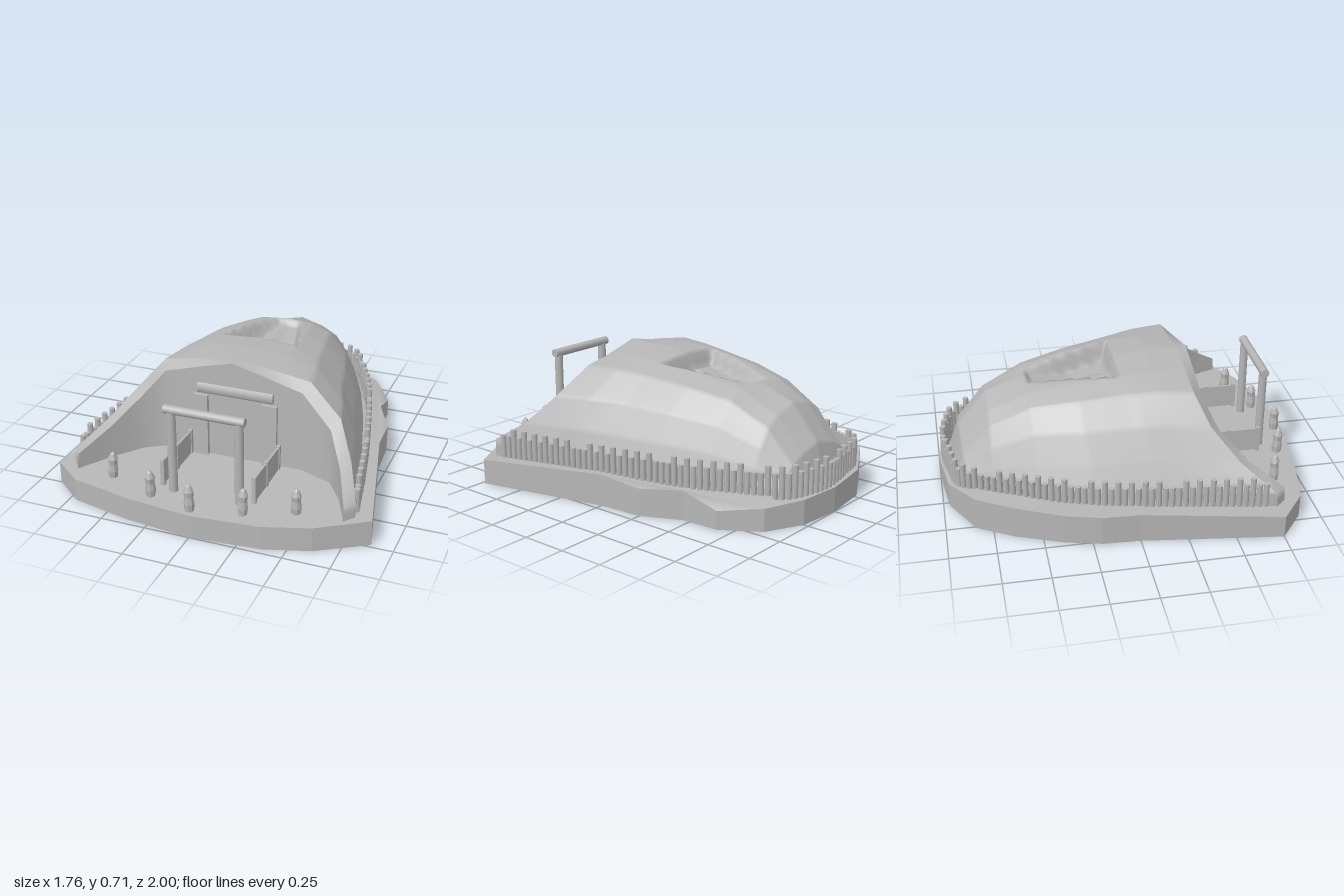
import * as THREE from 'three';

const stone = new THREE.MeshStandardMaterial({ color: 0xb6b6b6, side: THREE.DoubleSide });
stone.name = 'grey stone';
const facetedStone = stone.clone();
facetedStone.name = 'grey stone faceted';
facetedStone.flatShading = true;

const V = (x, y, z) => new THREE.Vector3(x, y, z);
const { lerp, clamp } = THREE.MathUtils;
const mix = (a, b, t) => a.map((v, k) => lerp(v, b[k], t));

function part(parent, name, geometry, x = 0, y = 0, z = 0, material = stone) {
  const mesh = new THREE.Mesh(geometry, material);
  mesh.name = name;
  mesh.position.set(x, y, z);
  parent.add(mesh);
  return mesh;
}

// Sheet through rows of points, every row the same length
function sheet(rows) {
  const n = rows[0].length, index = [];
  for (let r = 0; r < rows.length - 1; r++) {
    for (let c = 0; c < n - 1; c++) {
      const a = r * n + c, b = a + 1, d = a + n, e = d + 1;
      index.push(a, b, d, b, e, d);
    }
  }
  const g = new THREE.BufferGeometry().setFromPoints(rows.flat());
  g.setIndex(index);
  g.computeVertexNormals();
  return g;
}

// Straight interpolation in a table of equally long rows, t from 0 to 1
function sample(table, t) {
  const p = Math.min(t, 0.99999) * (table.length - 1), i = Math.floor(p);
  return mix(table[i], table[i + 1], p - i);
}

// Ground height: [z, right side, left side]
const heights = [[1, 0.13, 0.13], [0.73, 0.14, 0.125], [0, 0.175, 0.165], [-0.26, 0.15, 0.165],
  [-0.45, 0.165, 0.17], [-0.65, 0.1, 0.18], [-0.82, 0.115, 0.19], [-1, 0.135, 0.14]];
function groundY(x, z) {
  let i = 0;
  while (i < heights.length - 2 && z < heights[i + 1][0]) i++;
  const a = heights[i], b = heights[i + 1];
  const t = clamp((z - a[0]) / (b[0] - a[0]), 0, 1);
  const side = clamp(0.5 - x, 0, 1);
  return lerp(lerp(a[1], b[1], t), lerp(a[2], b[2], t), side);
}

const outline = [[0, -1], [0.25, -0.975], [0.45, -0.87], [0.58, -0.67], [0.59, -0.46], [0.69, -0.25],
  [0.71, 0], [0.78, 0.3], [0.88, 0.73], [0.62, 0.89], [0.38, 0.965], [0, 1], [-0.37, 0.96],
  [-0.71, 0.885], [-0.88, 0.75], [-0.78, 0], [-0.77, -0.2], [-0.72, -0.4], [-0.62, -0.65],
  [-0.51, -0.84], [-0.28, -0.965]].map(([x, z]) => V(x, groundY(x, z), z));
// Opening in the ground, hidden under the mound
const pit = [V(0.28, 0.17, 0.2), V(-0.33, 0.185, 0.06), V(-0.37, 0.17, -0.42), V(-0.26, 0.19, -0.8),
  V(0.24, 0.19, -0.8), V(0.4, 0.185, -0.48), V(0.42, 0.165, -0.25)];

function addGround(group) {
  // Hollow plinth wall
  const loop = [...outline, outline[0]];
  part(group, 'plinthWall', sheet([loop, loop.map((p) => V(p.x, 0, p.z))]), 0, 0, 0, facetedStone);
  // Uneven ground with its opening
  const flat = (points) => points.map((p) => new THREE.Vector2(p.x, -p.z));
  const shape = new THREE.Shape(flat(outline));
  shape.holes.push(new THREE.Path(flat(pit)));
  const g = new THREE.ShapeGeometry(shape);
  g.rotateX(-Math.PI / 2);
  const p = g.attributes.position, corners = [...outline, ...pit];
  for (let i = 0; i < p.count; i++) {
    p.setY(i, corners.find((c) => Math.hypot(c.x - p.getX(i), c.z - p.getZ(i)) < 1e-4).y);
  }
  g.computeVertexNormals();
  part(group, 'ground', g);
}

// Half sections of the mound: [width left, width right, height, shift towards top z]
const frontSection = [[1, 1, 0, 0], [1, 1, 0.14, 0.02], [0.84, 0.9, 0.365, 0.46], [0.68, 0.77, 0.64, 0.82],
  [0.52, 0.53, 0.895, 1], [0.25, 0.25, 0.955, 1], [0, 0, 1, 1]];
const bodySection = [[1, 1, 0, 0], [0.98, 0.99, 0.14, 0.06], [0.86, 0.9, 0.38, 0.46], [0.71, 0.76, 0.66, 0.82],
  [0.53, 0.54, 0.89, 1], [0.33, 0.33, 0.97, 1], [0, 0, 1, 1]];
const backSection = [[1, 1, 0, 0], [0.97, 0.97, 0.12, 0.1], [0.9, 0.9, 0.27, 0.3], [0.8, 0.8, 0.45, 0.5],
  [0.66, 0.66, 0.68, 0.7], [0.4, 0.4, 0.84, 0.85], [0, 0, 1, 1]];
// Stations: [base z, top z, width left, width right, top height]
const stations = [[0.73, 0.35, 0.79, 0.79, 0.715], [0.42, 0.17, 0.72, 0.725, 0.715],
  [0.1, 0, 0.67, 0.64, 0.7], [-0.2, -0.25, 0.625, 0.56, 0.668], [-0.5, -0.5, 0.52, 0.46, 0.62],
  [-0.73, -0.72, 0.41, 0.37, 0.545], [-0.85, -0.88, 0.35, 0.315, 0.36], [-0.88, -0.94, 0.33, 0.295, 0.14]];

// Tapered sunken light well in the crown, shallower towards the back
function dent(x, z) {
  const t = (-0.01 - z) / 0.49;
  if (t <= 0 || t >= 1) return 0;
  const edge = Math.min(lerp(0.215, 0.075, t) - Math.abs(x), t * 0.49, (1 - t) * 0.49);
  const depth = t < 0.5 ? 0.1 : lerp(0.1, 0.03, t * 2 - 1);
  return clamp(edge / 0.03, 0, 1) * depth * (x > 0 ? 1.1 : 0.9);
}

function moundPoint(s, u) {
  const [bz, tz, wl, wr, top] = sample(stations, s);
  const [front, body, back] = [frontSection, bodySection, backSection].map((t) => sample(t, 1 - Math.abs(u)));
  const [fl, fr, fh, fz] = mix(mix(front, body, clamp(s * 4, 0, 1)), back, clamp(s * 3.5 - 2, 0, 1));
  const x = u < 0 ? -wl * fl : wr * fr;
  return V(x, lerp(0.135, top, fh), lerp(bz, tz, fz));
}

function addMound(group) {
  const rows = [];
  for (let i = 0; i <= 126; i++) {
    const row = [];
    for (let j = 0; j <= 120; j++) {
      const v = moundPoint(i / 126, j / 60 - 1);
      v.y -= dent(v.x, v.z);
      row.push(v);
    }
    rows.push(row);
  }
  part(group, 'moundShell', sheet(rows));

  // Thick front lip and the curved wall set behind it
  const outer = [], inner = [], foot = [];
  for (let j = 0; j <= 24; j++) {
    const v = moundPoint(0, j / 12 - 1);
    const drop = 0.045 * clamp((v.y - 0.22) / 0.3, 0, 1) * Math.min(1, Math.abs(v.x) * 2.5);
    outer.push(v);
    inner.push(V(v.x * 0.94, v.y - drop, v.z + 0.055));
    foot.push(V(v.x * 0.94, 0.09, v.z + 0.055));
  }
  part(group, 'frontLip', sheet([inner, outer]));
  part(group, 'frontWall', sheet([foot, inner]));
}

function addPalisade(group) {
  const path = new THREE.CatmullRomCurve3([[-0.77, 0.67], [-0.74, 0.4], [-0.65, -0.2], [-0.5, -0.6],
    [-0.34, -0.9], [-0.17, -0.945], [0, -0.97], [0.17, -0.945], [0.3, -0.89], [0.45, -0.6],
    [0.53, -0.4], [0.64, 0], [0.72, 0.35], [0.78, 0.67]].map(([x, z]) => V(x, 0, z)), false, 'centripetal');
  path.getSpacedPoints(112).forEach((p, i) => {
    const top = i % 2 || i % 7 === 0 ? 0.272 : 0.312;
    const bottom = Math.max(groundY(p.x, p.z) - 0.01, 0.135);
    part(group, 'palisadePost', new THREE.CylinderGeometry(0.016, 0.016, top - bottom, 8),
      p.x, (top + bottom) / 2, p.z);
  });
}

function beam(group, name, radius, length, x, y, z) {
  const mesh = part(group, name, new THREE.CylinderGeometry(radius, radius, length, 10), x, y, z);
  mesh.rotation.z = Math.PI / 2;
  return mesh;
}

function addEntrance(group) {
  // Free standing gate
  for (const x of [-0.167, 0.202]) {
    part(group, 'gatePost', new THREE.CylinderGeometry(0.024, 0.024, 0.46, 10), x, 0.365, 0.81);
  }
  beam(group, 'gateBeam', 0.024, 0.44, 0.015, 0.607, 0.81);
  // Doorway against the wall
  for (const x of [-0.18, 0.215]) {
    part(group, 'doorJamb', new THREE.BoxGeometry(0.085, 0.37, 0.024), x, 0.325, 0.415);
  }
  beam(group, 'doorLintel', 0.03, 0.43, 0.02, 0.552, 0.415).scale.z = 0.5;
  // Low fences along the passage
  for (const x of [-0.24, 0.27]) {
    part(group, 'passageFence', new THREE.BoxGeometry(0.012, 0.135, 0.36), x, 0.215, 0.605);
    for (const z of [0.43, 0.61, 0.78]) {
      part(group, 'fencePost', new THREE.BoxGeometry(0.022, 0.15, 0.022), x, 0.215, z);
    }
  }
}

function addStones(group) {
  // Rough pointed standing stones
  const profile = [[0, 0], [0.024, 0], [0.028, 0.04], [0.023, 0.08], [0.027, 0.11], [0.014, 0.14], [0, 0.155]]
    .map(([r, y]) => new THREE.Vector2(r, y));
  [[-0.53, 0.79], [-0.26, 0.89], [-0.015, 0.95], [0.25, 0.89], [0.5, 0.79]].forEach(([x, z], i) => {
    const mesh = part(group, 'standingStone', new THREE.LatheGeometry(profile, 8), x, 0.13, z, facetedStone);
    mesh.rotation.set(0, i * 1.3, 0.03 * (i % 2 ? 1 : -1));
  });
}

export function createModel() {
  const model = new THREE.Group();
  model.name = 'burialMound';
  for (const [name, build] of Object.entries({ plinth: addGround, mound: addMound,
    palisade: addPalisade, entrance: addEntrance, standingStones: addStones })) {
    const group = new THREE.Group();
    group.name = name;
    build(group);
    model.add(group);
  }
  return model;
}
